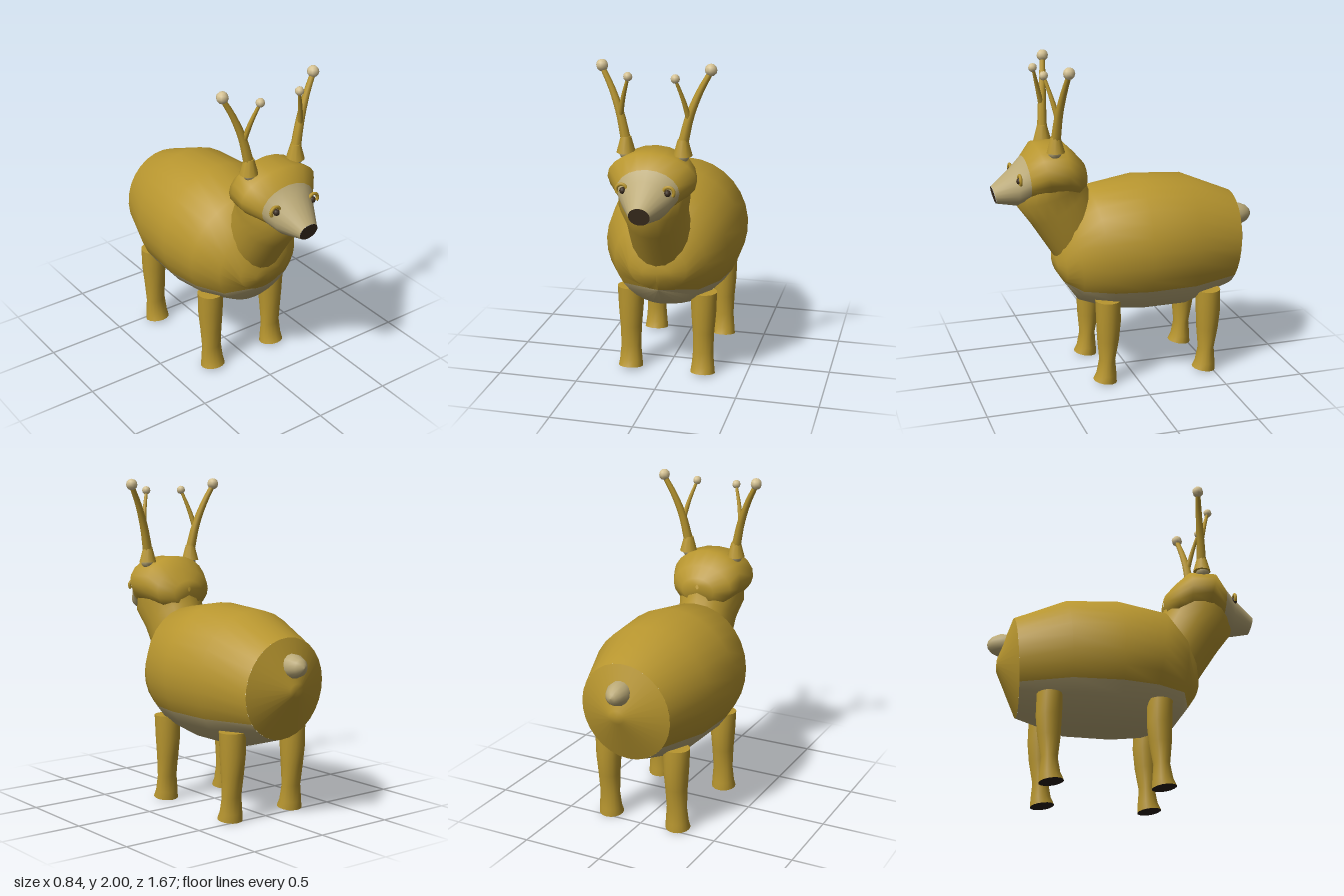
import * as THREE from 'three';

const mat = (name, color, side = THREE.FrontSide) => {
  const m = new THREE.MeshStandardMaterial({ color, side });
  m.name = name;
  return m;
};

// Surface through oval rings [z, y of one edge, z, y of the opposite edge, half width].
// anglesOf gives the angles of a ring, matOf the material index of each cell.
const even = (n) => () => Array.from({ length: n }, (_, j) => (j / n) * Math.PI * 2);
function loft(rings, anglesOf = even(20), matOf = () => 0) {
  const pos = [], lists = [[], []];
  const n = anglesOf(rings[0]).length;
  rings.forEach((r, i) => {
    const [z0, y0, z1, y1, w] = r;
    for (const a of anglesOf(r)) {
      const c = Math.cos(a) / 2;
      pos.push(Math.sin(a) * w, (y0 + y1) / 2 + c * (y0 - y1), (z0 + z1) / 2 + c * (z0 - z1));
    }
    if (i === 0) return;
    for (let j = 0; j < n; j++) {
      const a = (i - 1) * n + j, b = (i - 1) * n + (j + 1) % n;
      lists[matOf(i - 1, j)].push(a, a + n, b, b, a + n, b + n);
    }
  });
  const g = new THREE.BufferGeometry();
  g.setAttribute('position', new THREE.Float32BufferAttribute(pos, 3));
  g.setIndex(lists.flat());
  g.addGroup(0, lists[0].length, 0);
  g.addGroup(lists[0].length, lists[1].length, 1);
  g.computeVertexNormals();
  return g;
}

// Ring shrunk to its centre, for closing an end
const centre = ([z0, y0, z1, y1]) => [(z0 + z1) / 2, (y0 + y1) / 2, (z0 + z1) / 2, (y0 + y1) / 2, 0];

// Tube along points whose radius runs from r0 to r1
function taperedTube(points, r0, r1) {
  const path = new THREE.CatmullRomCurve3(points.map((p) => new THREE.Vector3(...p)));
  const seg = 10, sides = 8;
  const g = new THREE.TubeGeometry(path, seg, 1, sides);
  const p = g.attributes.position, v = new THREE.Vector3();
  for (let i = 0; i < p.count; i++) {
    const t = Math.floor(i / (sides + 1)) / seg;
    const c = path.getPointAt(t);
    v.fromBufferAttribute(p, i).sub(c).multiplyScalar(r0 + (r1 - r0) * t).add(c);
    p.setXYZ(i, v.x, v.y, v.z);
  }
  return g;
}

export function createModel() {
  const root = new THREE.Group();
  root.name = 'deer';
  const gold = mat('golden coat', 0xb8962f);
  const tan = mat('pale fur', 0xbbaa78);
  const cream = mat('antler tip', 0xd6c394);
  const dark = mat('nose brown', 0x3c2e20);
  const hoofMat = mat('hoof', 0x261b15);
  const add = (name, geo, material, parent = root) => {
    const m = new THREE.Mesh(geo, material);
    m.name = name;
    parent.add(m);
    return m;
  };

  // Body: the lower arc of every ring, below the belly line, is pale
  const rump = [-0.69, 1.10, -0.64, 0.49, 0.292];
  const bellyLine = 0.61, upper = 20, lower = 10;
  const bodyAngles = ([, y0, , y1]) => {
    const h = (y0 - y1) / 2;
    const k = h > 0 ? (bellyLine - (y0 + y1) / 2) / h : -1;
    const a = Math.acos(Math.max(-1, Math.min(1, k)));
    const out = [];
    for (let j = 0; j < upper; j++) out.push(-a + (2 * a * j) / upper);
    for (let j = 0; j < lower; j++) out.push(a + ((2 * Math.PI - 2 * a) * j) / lower);
    return out;
  };
  const chest = [0.46, 0.78, 0.45, 0.68, 0.09];
  add('body', loft([
    rump,
    [-0.38, 1.23, -0.34, 0.40, 0.402],
    [-0.06, 1.25, -0.05, 0.40, 0.42],
    [0.25, 1.20, 0.13, 0.42, 0.38],
    [0.38, 1.04, 0.32, 0.49, 0.285],
    [0.44, 0.90, 0.405, 0.61, 0.18],
    chest, centre(chest),
  ], bodyAngles, (i, j) => (j >= upper ? 1 : 0)), [gold, tan]);
  const rear = [-0.774, 0.84, -0.77, 0.76, 0.05];
  add('rump', loft([centre(rear), rear, rump], even(30)), gold);

  // Tail
  const tail = add('tail', new THREE.LatheGeometry(
    [[0.072, 0], [0.07, 0.04], [0.05, 0.085], [0.025, 0.108], [0, 0.115]]
      .map(([x, y]) => new THREE.Vector2(x, y)), 14), tan);
  tail.rotation.x = -Math.PI / 2;
  tail.position.set(0, 0.938, -0.722);

  // Neck
  add('neck', loft([
    [0.15, 1.05, 0.40, 0.70, 0.15],
    [0.20, 1.12, 0.46, 0.78, 0.185],
    [0.25, 1.22, 0.60, 1.00, 0.185],
    [0.265, 1.27, 0.69, 1.125, 0.21],
    [0.30, 1.36, 0.67, 1.22, 0.21],
  ]), gold);

  // Head, with a pale face on the front rings
  add('head', loft([
    [0.262, 1.32, 0.262, 1.29, 0.01],
    [0.27, 1.36, 0.27, 1.20, 0.11],
    [0.33, 1.43, 0.33, 1.16, 0.20],
    [0.41, 1.508, 0.40, 1.16, 0.235],
    [0.575, 1.50, 0.50, 1.18, 0.264],
    [0.64, 1.42, 0.62, 1.16, 0.185],
    [0.70, 1.365, 0.69, 1.125, 0.14],
    [0.835, 1.25, 0.81, 1.145, 0.062],
  ], even(20), (i) => (i >= 5 ? 1 : 0)), [gold, tan]);
  const nose = add('nose', new THREE.CircleGeometry(1, 20), dark);
  nose.scale.set(0.063, 0.054, 1);
  nose.rotation.x = 0.235;
  nose.position.set(0, 1.1975, 0.824);

  for (const s of [1, -1]) {
    const side = s > 0 ? 'left' : 'right';

    // Eye with a curved lid
    const eye = add(side + 'Eye', new THREE.SphereGeometry(0.02, 12, 8), dark);
    eye.position.set(s * 0.13, 1.305, 0.69);
    const lid = add(side + 'Eyelid', new THREE.TorusGeometry(0.031, 0.01, 8, 16, Math.PI * 1.2), gold);
    lid.position.set(s * 0.137, 1.31, 0.69);
    lid.rotation.z = s > 0 ? -0.7 : 0.7 - Math.PI * 0.2;

    // Antler: collar, main beam, forward tine and round tips
    const antler = new THREE.Group();
    antler.name = side + 'Antler';
    root.add(antler);
    const collar = add('antlerBase', new THREE.CylinderGeometry(0.03, 0.056, 0.095, 10), gold, antler);
    collar.position.set(s * 0.168, 1.52, 0.478);
    const root2 = add('antlerRoot', new THREE.SphereGeometry(0.042, 10, 8), tan, antler);
    root2.position.set(s * 0.166, 1.475, 0.483);
    add('antlerBeam', taperedTube([
      [s * 0.168, 1.54, 0.477], [s * 0.205, 1.70, 0.465],
      [s * 0.258, 1.84, 0.447], [s * 0.318, 1.955, 0.43],
    ], 0.031, 0.016), gold, antler);
    add('antlerTine', taperedTube([
      [s * 0.205, 1.67, 0.468], [s * 0.175, 1.80, 0.50], [s * 0.137, 1.92, 0.533],
    ], 0.018, 0.009), gold, antler);
    const tip = new THREE.SphereGeometry(1, 8, 6);
    for (const [x, y, z, r] of [[0.318, 1.964, 0.43, 0.036], [0.137, 1.925, 0.535, 0.027]]) {
      const ball = add('antlerTip', tip, cream, antler);
      ball.position.set(s * x, y, z);
      ball.scale.setScalar(r);
    }

    // Legs with flared feet and dark soles
    const foot = [0.13, 0, 0.275, 0.02, 0.078];
    const hip = [0.105, 0.54, 0.26, 0.54, 0.083];
    for (const [name, dz] of [['FrontLeg', 0], ['BackLeg', -0.652]]) {
      const leg = new THREE.Group();
      leg.name = side + name;
      leg.position.set(s * 0.232, 0, dz);
      root.add(leg);
      add('leg', loft([
        foot,
        [0.132, 0.05, 0.255, 0.06, 0.072],
        [0.14, 0.15, 0.237, 0.15, 0.064],
        [0.115, 0.28, 0.25, 0.28, 0.068],
        [0.103, 0.40, 0.255, 0.40, 0.078],
        hip,
      ], even(16)), gold, leg);
      add('legTop', loft([hip, centre(hip)], even(16)), gold, leg);
      add('sole', loft([centre(foot), foot], even(16)), hoofMat, leg);
    }
  }
  return root;
}
